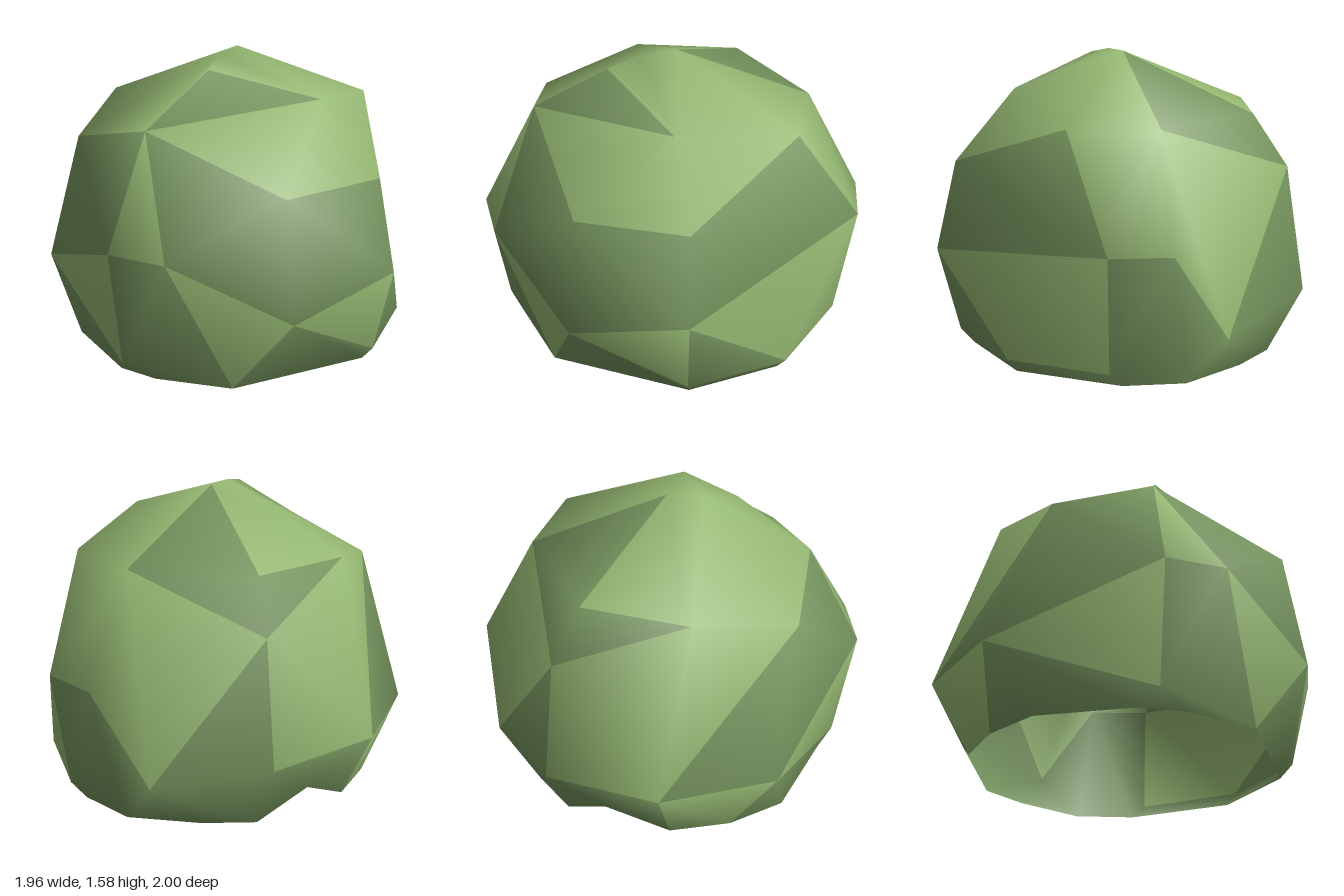
import * as THREE from 'three';

// The shell is open underneath, so both sides show
const lightLeaf = new THREE.MeshStandardMaterial({ color: 0x95b872, side: THREE.DoubleSide });
lightLeaf.name = 'lightLeafGreen';
const darkLeaf = new THREE.MeshStandardMaterial({ color: 0x75935d, side: THREE.DoubleSide });
darkLeaf.name = 'darkLeafGreen';

// Corner points of the clipped shrub, from the crown down to the ground
const points = [
  // 0-2 crown
  [0, 1.58, 0], [0.2, 1.53, 0.32], [0.57, 1.39, -0.12],
  // 3-8 shoulder
  [0.23, 1.28, 0.72], [0.23, 1.28, -0.69], [-0.24, 1.28, -0.67],
  [-0.7, 1.28, -0.19], [-0.64, 1.27, 0.38], [-0.28, 1.15, 0.82],
  // 9-11 upper sides
  [0.87, 1.02, 0.32], [0.87, 1.02, -0.27], [-0.88, 1.02, -0.27],
  // 12-21 belly
  [0.31, 0.71, 1], [0.6, 0.71, 0.85], [0, 0.71, -1], [-0.32, 0.71, -0.95],
  [0.98, 0.54, -0.29], [-0.98, 0.36, -0.29], [0.97, 0.4, 0.34],
  [-0.98, 0.39, 0.34], [-0.6, 0.39, 0.85], [-0.59, 0.235, -0.77],
  // 22-25 lower edge
  [0.27, 0.08, 0.91], [0.87, 0.08, -0.26], [0.54, 0.08, -0.72], [0, 0.08, -0.9],
  // 26-34 ground rim
  [0.17, 0, 0.86], [0.7, 0, 0.52], [0.8, 0, -0.25], [0.5, 0, -0.67], [-0.06, 0, -0.84],
  [-0.38, 0, -0.78], [-0.8, 0, -0.26], [-0.77, 0, 0.32], [-0.6, 0, 0.6],
  // 35-38 further rim points: back, raised notch, front left, front right
  [-0.65, 0, -0.5], [-0.88, 0.16, 0], [-0.35, 0, 0.81], [0.38, 0, 0.78],
  // 39 crown ridge
  [0.09, 1.57, 0.17],
].map((p) => new THREE.Vector3(...p));

// Each patch is an outline, filled as a fan from its first corner
const lightPatches = [
  [2, 0, 39, 1], [0, 2, 4, 5], [0, 6, 7], [39, 0, 7, 8, 3, 1], [2, 3, 9, 10, 4],
  [11, 17, 19, 7], [7, 19, 8], [5, 4, 14, 15, 21, 11], [3, 12, 13],
  [20, 12, 22], [13, 18, 27], [19, 20, 34, 33], [14, 16, 24, 25], [16, 18, 23],
];
const darkPatches = [
  [1, 2, 3], [5, 0, 6, 11], [6, 11, 7], [11, 21, 17], [8, 19, 20, 12, 3],
  [9, 3, 13, 18], [9, 18, 16, 10], [10, 16, 14, 4], [22, 12, 13, 27, 38, 26],
  [20, 22, 26, 37, 34], [36, 33, 19, 17, 32], [21, 17, 32, 35, 31],
  [15, 21, 31, 30, 25, 14], [16, 23, 24], [18, 23, 28, 27],
  [23, 24, 29, 28], [24, 25, 30, 29],
];

const core = new THREE.Vector3(0, 0.7, 0);

// Fan triangles of a list of patches, each turned to face away from the core
function fanIndices(patches) {
  const out = [];
  for (const patch of patches) {
    for (let i = 1; i < patch.length - 1; i++) {
      const tri = [patch[0], patch[i], patch[i + 1]];
      const [a, b, c] = tri.map((k) => points[k]);
      const normal = b.clone().sub(a).cross(c.clone().sub(a));
      if (normal.dot(a.clone().sub(core)) < 0) tri.reverse();
      out.push(...tri);
    }
  }
  return out;
}

export function createModel() {
  const bush = new THREE.Group();
  bush.name = 'bush';

  // One smooth shell with two leaf colours
  const light = fanIndices(lightPatches);
  const dark = fanIndices(darkPatches);
  const geometry = new THREE.BufferGeometry().setFromPoints(points);
  geometry.setIndex([...light, ...dark]);
  geometry.addGroup(0, light.length, 0);
  geometry.addGroup(light.length, dark.length, 1);
  geometry.computeVertexNormals();

  const foliage = new THREE.Mesh(geometry, [lightLeaf, darkLeaf]);
  foliage.name = 'foliage';
  bush.add(foliage);
  return bush;
}
